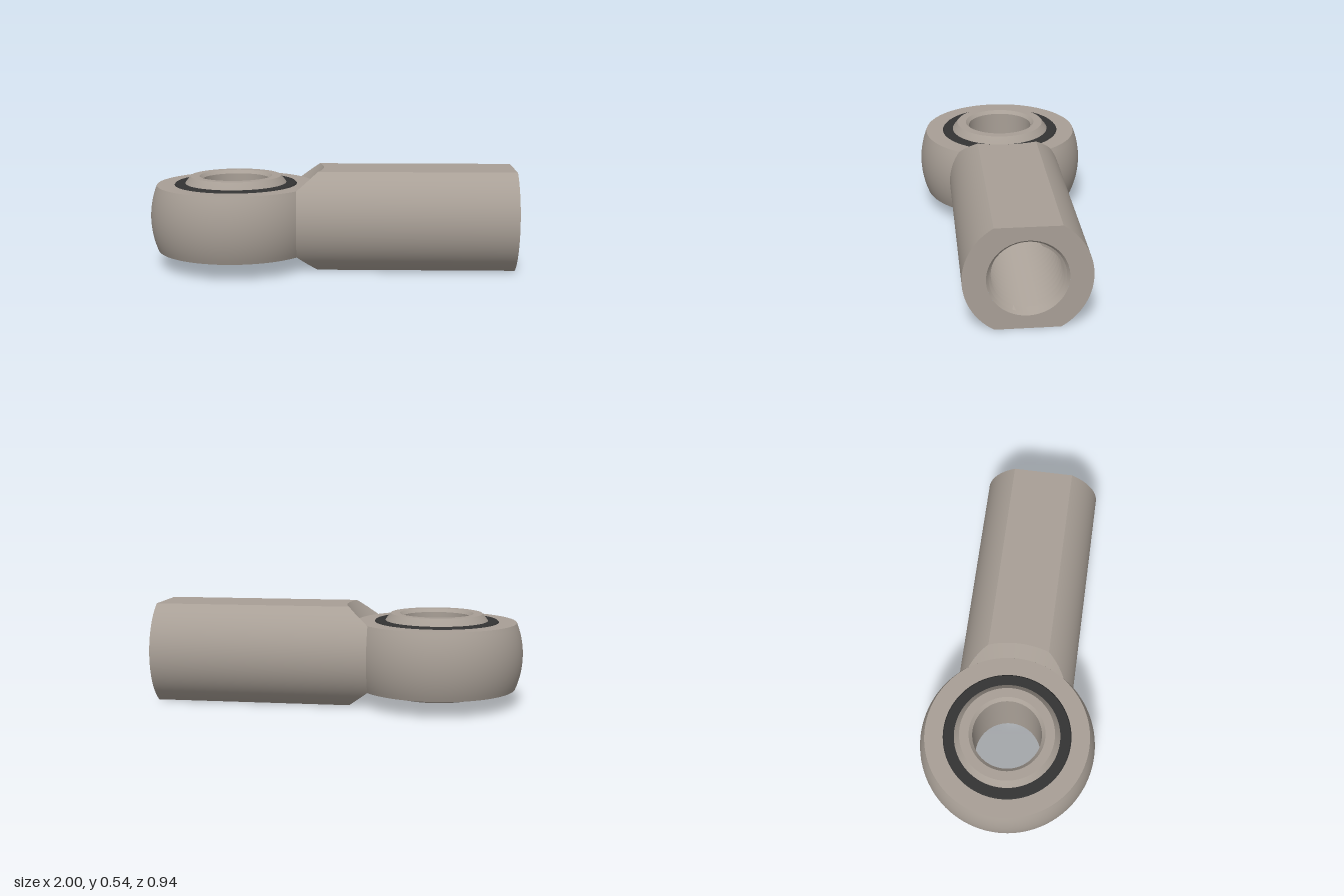
import * as THREE from 'three';
import { toCreasedNormals } from 'three/addons/utils/BufferGeometryUtils.js';
import { ParametricGeometry } from 'three/addons/geometries/ParametricGeometry.js';

const MID = 0.27;                     // half thickness of the shank, height of its axis
const HEAD_X = -0.53, HEAD_R = 0.47, HEAD_H = 0.18;
const SHANK_R = 0.315, BALL_R = 0.336;
const RIM_R = Math.sqrt(HEAD_R ** 2 - HEAD_H ** 2);
const BORE_R = 0.174, BORE_END = 0.25;
const MOUTH_R = 0.187, MOUTH_X = 0.985;

export function createModel() {
  const model = new THREE.Group();
  model.name = 'rodEnd';
  const body = new THREE.Group();
  body.name = 'body';
  body.position.y = MID;
  model.add(body);

  const metal = new THREE.MeshStandardMaterial({ color: 0xa89f96 });
  const rubber = new THREE.MeshStandardMaterial({ color: 0x333333 });

  const add = (name, geometry, material = metal) => {
    const mesh = new THREE.Mesh(geometry, material);
    mesh.name = name;
    body.add(mesh);
    return mesh;
  };
  // Closed ring turned about the vertical axis of the eye
  const turned = (name, profile, material) => {
    const points = [...profile, profile[0]].map(([r, y]) => new THREE.Vector2(r, y));
    const geometry = toCreasedNormals(new THREE.LatheGeometry(points, 96), 0.4);
    add(name, geometry, material).position.x = HEAD_X;
  };
  // Points on a sphere outline between two heights
  const bulge = (radius, h, n = 16) => Array.from({ length: n + 1 }, (_, i) => {
    const y = -h + (2 * h * i) / n;
    return [Math.sqrt(radius * radius - y * y), y];
  });

  // Eye: barrel-shaped housing, ball with bore, and dark seals
  turned('housing', [...bulge(HEAD_R, HEAD_H), [0.33, HEAD_H], [0.33, -HEAD_H]]);
  turned('ball', [...bulge(BALL_R, 0.225), [0.2, 0.225], [0.182, 0.207],
    [0.182, -0.207], [0.2, -0.225]]);
  turned('seal', [[0.338, -0.179], [0.338, 0.179], [0.331, 0.187], [0.27, 0.187],
    [0.27, -0.187], [0.331, -0.187]], rubber);

  // Shank: round bar with two flats, its inner end cut by a cone about the eye axis
  const halfWidth = (y) => Math.sqrt(SHANK_R ** 2 - y * y);
  const startX = (y, z) => {
    const r = RIM_R + Math.max(0, Math.abs(y) - HEAD_H) * 0.59;
    return HEAD_X + Math.sqrt(r * r - z * z);
  };
  const cornerAngle = Math.asin(MID / SHANK_R);
  const patches = {
    shankSide: new ParametricGeometry((u, v, p) => {
      const a = (2 * u - 1) * cornerAngle;
      const y = SHANK_R * Math.sin(a), z = SHANK_R * Math.cos(a);
      p.set(THREE.MathUtils.lerp(1, startX(y, z), v), y, z);
    }, 48, 4),
    shankFlat: new ParametricGeometry((u, v, p) => {
      const z = (2 * u - 1) * halfWidth(MID);
      p.set(THREE.MathUtils.lerp(startX(MID, z), 1, v), MID, z);
    }, 24, 2),
    neckSlope: new ParametricGeometry((u, v, p) => {
      const y = THREE.MathUtils.lerp(HEAD_H, MID, v);
      const z = (2 * u - 1) * halfWidth(y);
      p.set(startX(y, z), y, z);
    }, 24, 8),
  };
  for (const [name, geometry] of Object.entries(patches)) {
    add(name, geometry);
    add(name + 'Opposite', geometry).rotation.x = Math.PI;
  }

  // End face with the bore opening
  const face = new THREE.Shape();
  face.absarc(0, 0, SHANK_R, -cornerAngle, cornerAngle);
  face.absarc(0, 0, SHANK_R, Math.PI - cornerAngle, Math.PI + cornerAngle);
  face.closePath();
  face.holes.push(new THREE.Path().absarc(0, 0, 0.2, 0, Math.PI * 2, true));
  add('endFace', new THREE.ShapeGeometry(face, 48).rotateY(Math.PI / 2)).position.x = 1;

  // Bore: chamfered mouth, V-shaped helical thread running out at the mouth, flat bottom
  const mouth = [new THREE.Vector2(0.2, 1), new THREE.Vector2(MOUTH_R, MOUTH_X)];
  add('boreChamfer', new THREE.LatheGeometry(mouth, 64).rotateZ(-Math.PI / 2));
  const pitch = 0.05;
  const rows = 2 * (Math.ceil((MOUTH_X - BORE_END) / pitch) + 2);
  const thread = new ParametricGeometry((u, v, p) => {
    const row = Math.round(v * rows), a = u * Math.PI * 2;
    const x = BORE_END + pitch * (row / 2 - u);
    const crestOrRoot = row % 2 ? 0.198 : BORE_R;
    const r = x > MOUTH_X ? MOUTH_R : crestOrRoot;
    p.set(THREE.MathUtils.clamp(x, BORE_END, MOUTH_X), r * Math.sin(a), r * Math.cos(a));
  }, 64, rows);
  add('boreThread', toCreasedNormals(thread, 0.4));
  add('boreBottom', new THREE.CircleGeometry(0.198, 64).rotateY(Math.PI / 2))
    .position.x = BORE_END + 0.001;

  return model;
}
